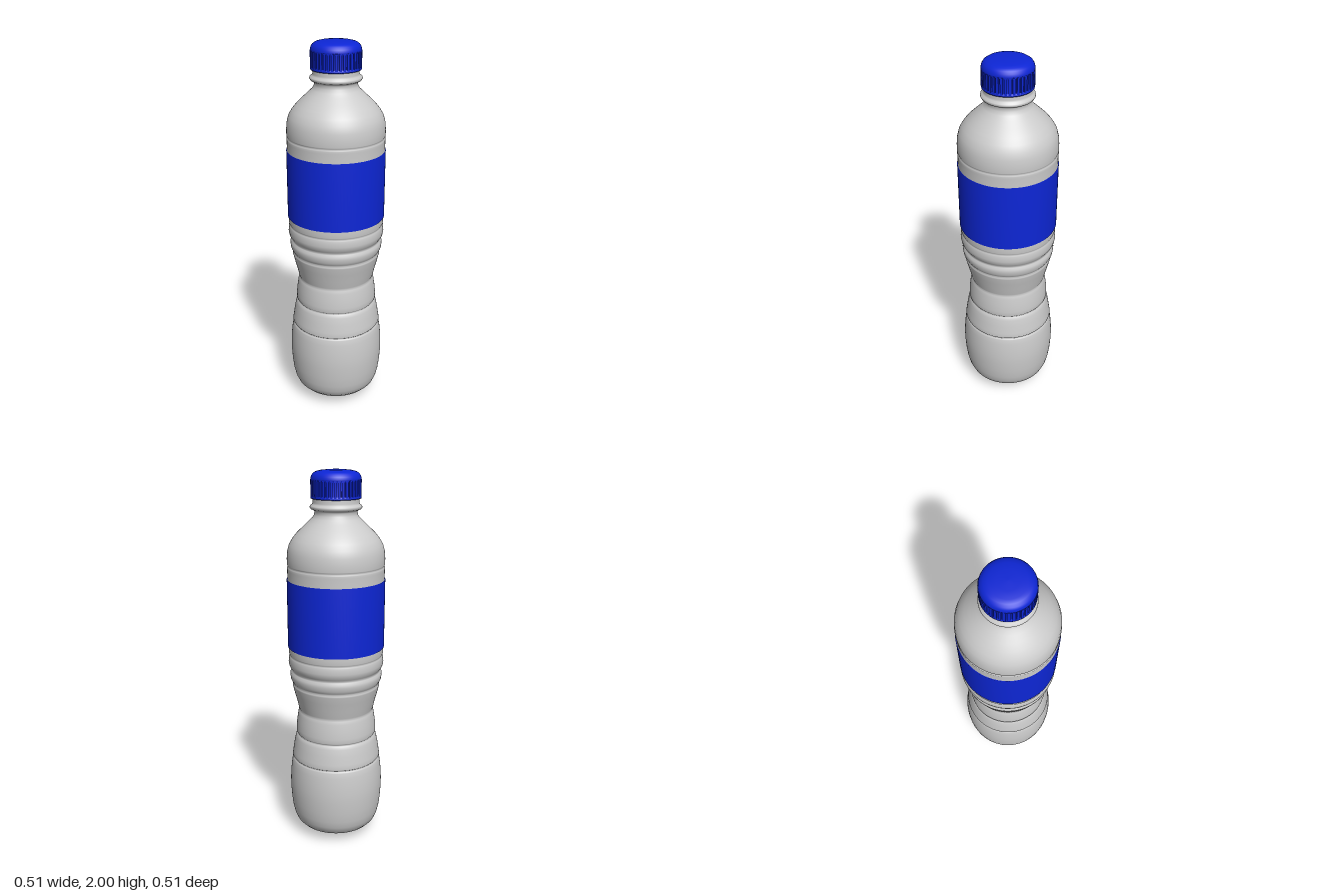
import * as THREE from 'three';
import { mergeGeometries } from 'three/addons/utils/BufferGeometryUtils.js';

const SEGMENTS = 96;

// Turn a [radius, height] profile (listed bottom to top) around the y axis.
function turned(name, profile, material) {
  const points = profile.map(([r, y]) => new THREE.Vector2(r, y));
  const mesh = new THREE.Mesh(new THREE.LatheGeometry(points, SEGMENTS), material);
  mesh.name = name;
  return mesh;
}

// Small rounded groove cut into a wall of radius r at height y.
function groove(r, y, depth = 0.008, half = 0.01) {
  return [
    [r, y - half], [r - depth * 0.5, y - half * 0.5], [r - depth, y],
    [r - depth * 0.5, y + half * 0.5], [r, y + half],
  ];
}

export function createModel() {
  const grey = new THREE.MeshStandardMaterial({ color: 0xcccccc, side: THREE.DoubleSide });
  const blue = new THREE.MeshStandardMaterial({ color: 0x0d26d6, side: THREE.DoubleSide });
  const bottle = new THREE.Group();
  bottle.name = 'bottle';

  // Body: domed base, gripped waist, ribbed chest, shoulder and neck
  bottle.add(turned('body', [
    [0, 0], [0.03, 0.003], [0.08, 0.014], [0.13, 0.028], [0.17, 0.043],
    [0.2, 0.06], [0.221, 0.082], [0.234, 0.112], [0.243, 0.15],
    [0.25, 0.205], [0.254, 0.27], [0.254, 0.32], [0.251, 0.37], [0.246, 0.415],
    ...groove(0.241, 0.455),
    [0.237, 0.49], [0.23, 0.535], [0.222, 0.573],
    ...groove(0.217, 0.595, 0.007),
    [0.217, 0.63], [0.213, 0.67], [0.207, 0.71],
    [0.203, 0.727], [0.199, 0.735], [0.203, 0.744],
    [0.212, 0.785], [0.224, 0.83], [0.234, 0.872],
    [0.234, 0.88], [0.23, 0.888], [0.236, 0.896],
    [0.243, 0.91], [0.246, 0.93], [0.245, 0.945],
    [0.238, 0.955], [0.237, 0.962], [0.241, 0.971],
    [0.25, 0.985], [0.254, 1.005], [0.252, 1.025],
    ...groove(0.251, 1.045, 0.004),
    [0.252, 1.08], [0.252, 1.46], [0.252, 1.5],
    ...groove(0.253, 1.52, 0.004),
    [0.253, 1.56], [0.25, 1.595], [0.241, 1.63], [0.223, 1.66],
    [0.2, 1.688], [0.172, 1.715], [0.143, 1.742], [0.122, 1.762],
    [0.111, 1.778], [0.109, 1.795],
    [0.115, 1.802], [0.128, 1.808], [0.133, 1.816], [0.131, 1.824],
    [0.121, 1.831], [0.117, 1.84], [0.117, 1.875],
  ], grey));

  // Label wrapped around the chest
  bottle.add(turned('label', [
    [0.251, 1.09], [0.2555, 1.09], [0.2555, 1.45], [0.251, 1.45],
  ], blue));

  // Cap: retaining band, recessed grip wall and domed top
  const cap = new THREE.Group();
  cap.name = 'cap';
  cap.add(turned('capShell', [
    [0.105, 1.86], [0.127, 1.86], [0.128, 1.864], [0.128, 1.872],
    [0.121, 1.876], [0.121, 1.944], [0.127, 1.95], [0.127, 1.958],
    [0.124, 1.97], [0.117, 1.981], [0.104, 1.99], [0.085, 1.995],
    [0.05, 1.999], [0, 2],
  ], blue));

  // Grip ribs around the cap
  const ribs = [];
  const ribCount = 40;
  for (let i = 0; i < ribCount; i++) {
    const rib = new THREE.BoxGeometry(0.013, 0.084, 0.01);
    rib.translate(0, 1.911, 0.1232);
    rib.rotateY((i / ribCount) * Math.PI * 2);
    ribs.push(rib);
  }
  const grip = new THREE.Mesh(mergeGeometries(ribs), blue);
  grip.name = 'capRibs';
  cap.add(grip);
  bottle.add(cap);

  return bottle;
}
